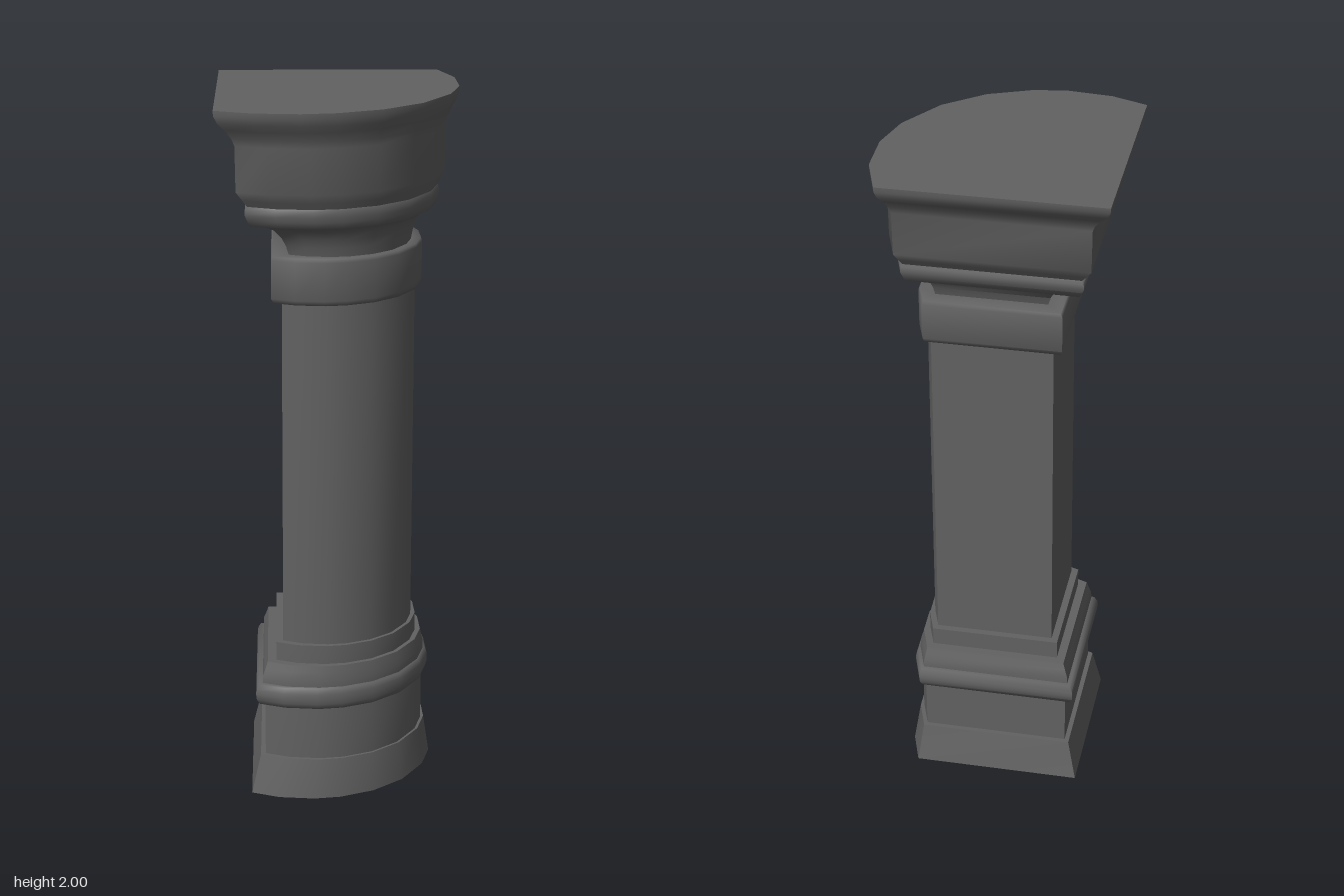
import * as THREE from 'three';
import { toCreasedNormals } from 'three/addons/utils/BufferGeometryUtils.js';

const material = new THREE.MeshStandardMaterial({ color: 0x626262, side: THREE.DoubleSide });

// Crease angles in degrees: crisp corners for flat blocks, softened corners for rounded mouldings.
const CRISP = 40;
const SOFT = 80;

// Fan-shaped section: a curved front between two corners, then a right-angled back corner.
const ARC_ANGLES = [-72, -58.5, -42.5, -30.5, -14, 3.7, 23, 38.5, 55.5, 72].map(THREE.MathUtils.degToRad);

function section(w, y) {
  const back = -0.13 - 1.28 * (w - 0.245);
  const front = 0.296 + 0.43 * (w - 0.245);
  const corner = back + w;
  const sag = front - corner;
  const radius = (w * w + sag * sag) / (2 * sag);
  const half = Math.asin(Math.min(1, w / radius));
  const k = half / ARC_ANGLES[9];
  const ring = ARC_ANGLES.map((a) => [radius * Math.sin(a * k) - 0.003, y, front - radius + radius * Math.cos(a * k)]);
  ring.push([-0.005, y, back]);
  return ring;
}

// Skin a stack of sections; each profile entry is [half width, height].
function moulding(name, crease, profile, capped = false) {
  const rings = profile.map(([w, y]) => section(w, y));
  const n = rings[0].length;
  const index = [];
  for (let r = 0; r < rings.length - 1; r++) {
    for (let i = 0; i < n; i++) {
      const a = r * n + i, b = r * n + (i + 1) % n;
      index.push(a, b, b + n, a, b + n, a + n);
    }
  }
  if (capped) {
    const s = (rings.length - 1) * n;
    for (let i = 0; i < n - 2; i++) index.push(s + n - 1, s + i, s + i + 1);
  }
  const geometry = new THREE.BufferGeometry();
  geometry.setAttribute('position', new THREE.Float32BufferAttribute(rings.flat(2), 3));
  geometry.setIndex(index);
  const mesh = new THREE.Mesh(toCreasedNormals(geometry, THREE.MathUtils.degToRad(crease)), material);
  mesh.name = name;
  return mesh;
}

export function createModel() {
  const column = new THREE.Group();
  column.name = 'cornerColumn';
  column.add(
    // base, open underneath
    moulding('skirting', CRISP, [[0.344, 0], [0.315, 0.115], [0.3, 0.115]]),
    moulding('plinth', CRISP, [[0.3, 0.115], [0.3, 0.27]]),
    moulding('baseTorus', SOFT, [[0.3, 0.27], [0.318, 0.275], [0.327, 0.29], [0.329, 0.305], [0.327, 0.32], [0.318, 0.335], [0.308, 0.338]]),
    moulding('baseStep', CRISP, [[0.308, 0.338], [0.307, 0.36], [0.299, 0.38], [0.292, 0.4], [0.265, 0.4]]),
    moulding('baseFillet', CRISP, [[0.265, 0.4], [0.265, 0.455], [0.243, 0.455]]),
    // shaft
    moulding('shaft', CRISP, [[0.243, 0.455], [0.243, 1.455]]),
    // collar below the capital
    moulding('collar', SOFT, [[0.243, 1.455], [0.268, 1.455], [0.275, 1.468], [0.275, 1.575], [0.27, 1.585], [0.222, 1.585]]),
    // capital
    moulding('neck', SOFT, [[0.222, 1.585], [0.23, 1.61], [0.244, 1.635], [0.265, 1.657], [0.288, 1.668], [0.315, 1.674]]),
    moulding('capitalBead', SOFT, [[0.315, 1.674], [0.336, 1.678], [0.345, 1.695], [0.352, 1.71], [0.35, 1.725], [0.344, 1.732]]),
    moulding('abacus', CRISP, [[0.344, 1.732], [0.358, 1.75], [0.377, 1.775], [0.379, 1.9], [0.388, 1.92], [0.408, 1.945], [0.428, 1.965], [0.439, 1.985], [0.44, 2]], true),
  );
  return column;
}
